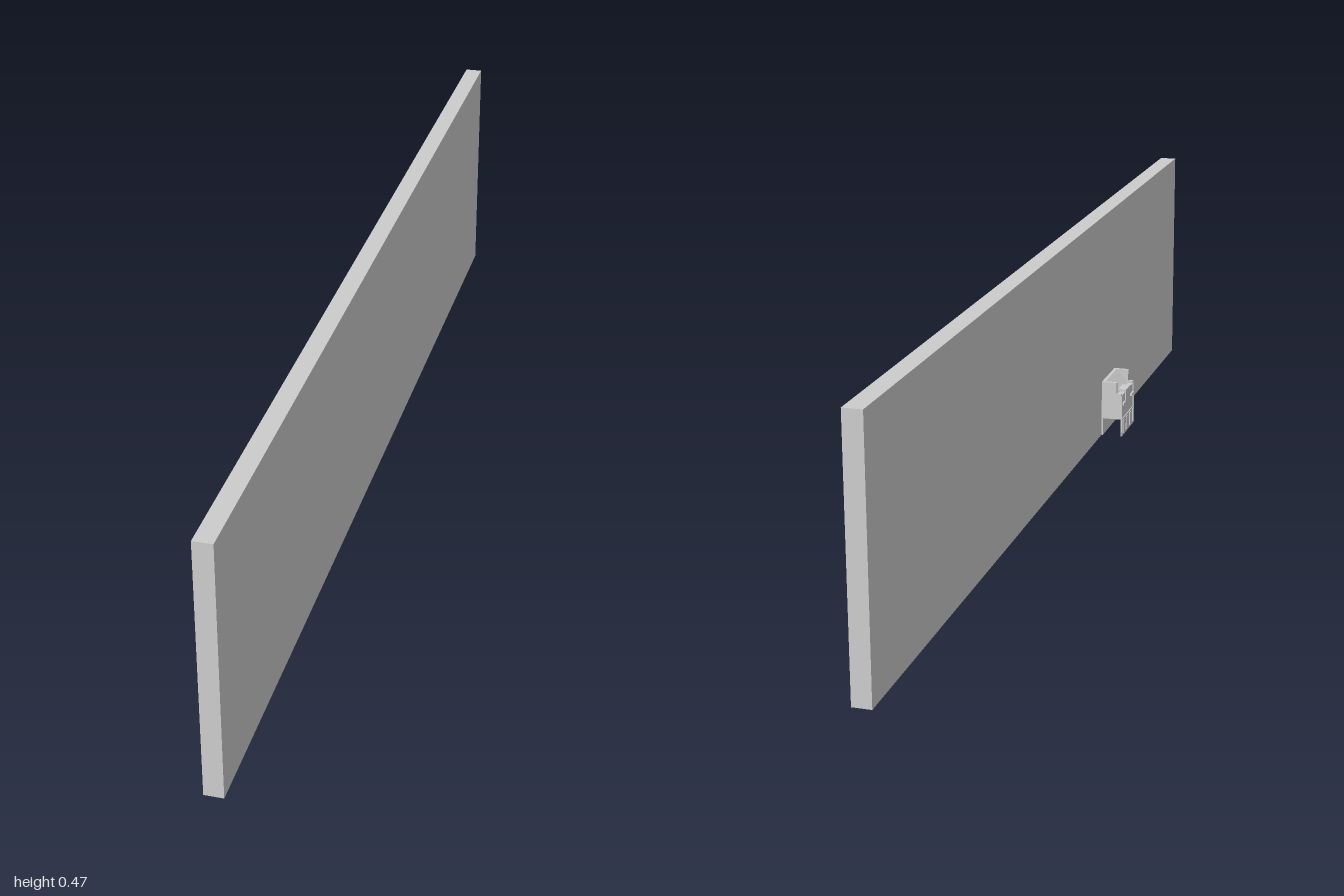
import * as THREE from 'three';

const material = new THREE.MeshStandardMaterial({ color: 0xcccccc, flatShading: true });

export function createModel() {
  const model = new THREE.Group();

  // Box given by its minimum and maximum along each axis
  function box(parent, name, x0, x1, y0, y1, z0, z1) {
    const mesh = new THREE.Mesh(new THREE.BoxGeometry(x1 - x0, y1 - y0, z1 - z0), material);
    mesh.position.set((x0 + x1) / 2, (y0 + y1) / 2, (z0 + z1) / 2);
    mesh.name = name;
    parent.add(mesh);
  }

  // Side profile in x and y, extended along z
  function profile(parent, name, points, z0, z1) {
    const shape = new THREE.Shape(points.map(([x, y]) => new THREE.Vector2(x, y)));
    const geometry = new THREE.ExtrudeGeometry(shape, { depth: z1 - z0, bevelEnabled: false });
    const mesh = new THREE.Mesh(geometry, material);
    mesh.position.z = z0;
    mesh.name = name;
    parent.add(mesh);
  }

  // Long upright board
  box(model, 'panel', 0.007, 0.041, 0, 0.47, -1, 1);

  // Small fitting on the face of the board
  const fitting = new THREE.Group();
  fitting.name = 'fitting';
  model.add(fitting);
  const zMin = 0.332, zMax = 0.438, zMid = 0.385, wall = 0.006;

  // Stepped end cheeks
  const cheek = [[0.007, 0.037], [0.007, 0.117], [-0.025, 0.117], [-0.025, 0.093],
    [-0.035, 0.093], [-0.035, 0.088], [-0.037, 0.088], [-0.037, 0.037]];
  profile(fitting, 'endCheek', cheek, zMin, zMin + wall);
  profile(fitting, 'endCheek', cheek, zMax - wall, zMax);

  // Body with a sloped upper face between the cheeks
  profile(fitting, 'body', [[0.007, 0.037], [0.007, 0.117], [0, 0.117], [-0.024, 0.088],
    [-0.035, 0.088], [-0.035, 0.037]], zMin + wall, zMax - wall);

  // Raised latch on the slope
  box(fitting, 'latch', -0.037, -0.012, 0.07, 0.093, zMid - 0.018, zMid + 0.018);

  // Thin lower skirts
  box(fitting, 'frontSkirt', -0.037, -0.034, 0, 0.037, zMin, zMax);
  box(fitting, 'rearSkirt', 0.004, 0.007, 0, 0.037, zMin, zMax);

  // Raised ribs and clips on the outer face
  for (const offset of [-0.042, -0.014, 0.014, 0.042]) {
    box(fitting, 'skirtRib', -0.039, -0.036, 0.006, 0.034, zMid + offset - 0.005, zMid + offset + 0.005);
  }
  for (const side of [-1, 1]) {
    const z = zMid + side * 0.034;
    box(fitting, 'clip', -0.039, -0.034, 0.066, 0.071, z - 0.01, z + 0.01);
  }

  return model;
}
